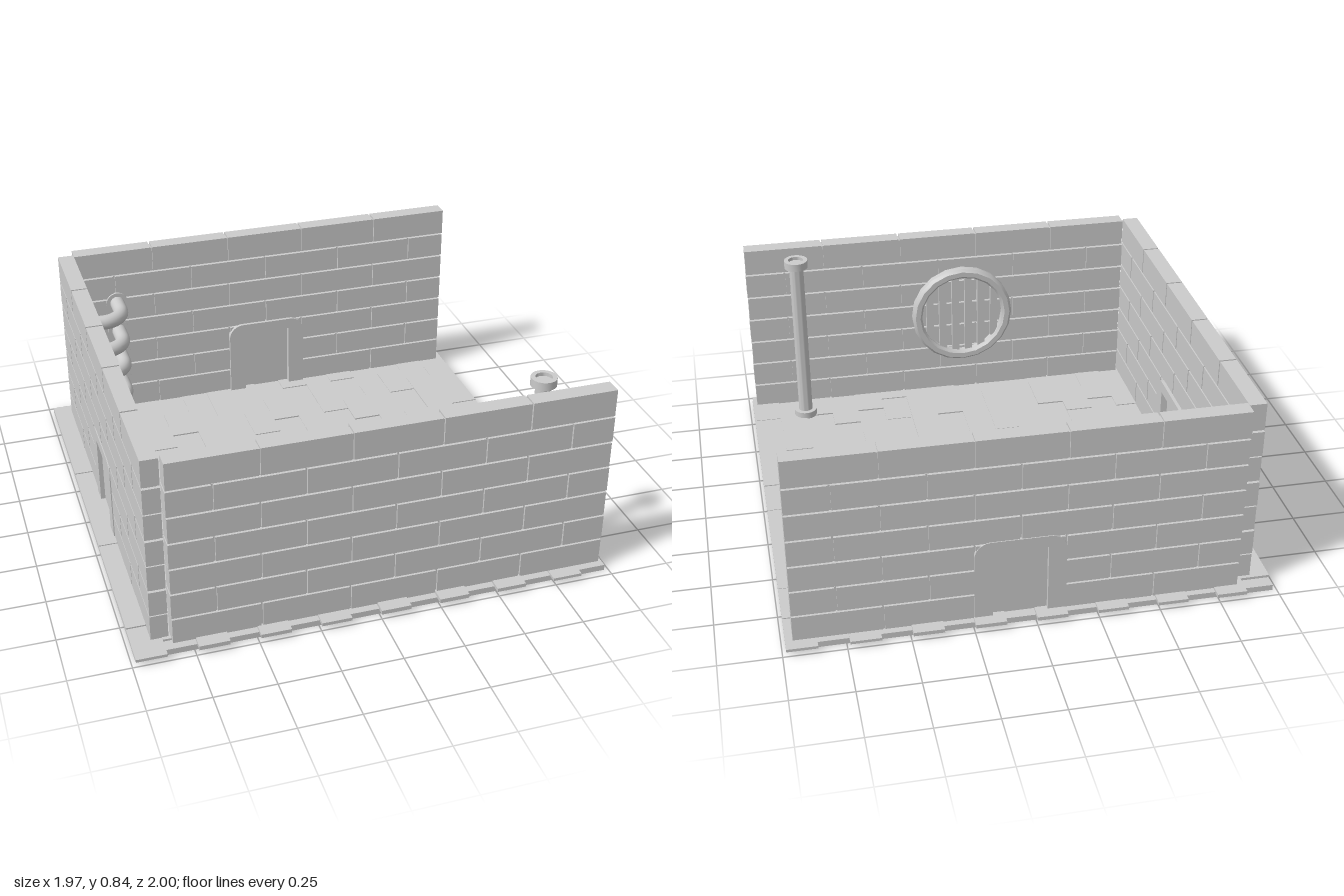
import * as THREE from 'three';
import { toCreasedNormals } from 'three/addons/utils/BufferGeometryUtils.js';

const material = new THREE.MeshStandardMaterial({ color: 0xcccccc });
const FLOOR = 0.032, TOP = 0.845, ROWS = 7, THICK = 0.07, GAP = 0.008;
const BRICK = 0.36, DOOR_HALF = 0.13;

function add(parent, name, geometry, x = 0, y = 0, z = 0) {
  const mesh = new THREE.Mesh(geometry, material);
  mesh.name = name;
  mesh.position.set(x, y, z);
  parent.add(mesh);
  return mesh;
}

// Box given by its limits in x and y, centred on z
function addSpan(parent, name, x0, x1, y0, y1, depth) {
  add(parent, name, new THREE.BoxGeometry(x1 - x0, y1 - y0, depth), (x0 + x1) / 2, (y0 + y1) / 2, 0);
}

// Arched door frame with a recessed panel; inside of the room is +z
function doorway() {
  const g = new THREE.Group();
  g.name = 'doorway';
  const w = 0.183, top = 0.385, r = 0.065, iw = 0.11, itop = 0.335;
  const s = new THREE.Shape();
  s.moveTo(-w, FLOOR);
  s.lineTo(-iw, FLOOR);
  s.lineTo(-iw, itop);
  s.lineTo(iw, itop);
  s.lineTo(iw, FLOOR);
  s.lineTo(w, FLOOR);
  s.lineTo(w, top - r);
  s.absarc(w - r, top - r, r, 0, Math.PI / 2, false);
  s.absarc(r - w, top - r, r, Math.PI / 2, Math.PI, false);
  s.closePath();
  const frame = new THREE.ExtrudeGeometry(s, { depth: THICK + 0.019, bevelEnabled: false, curveSegments: 6 });
  add(g, 'doorFrame', frame, 0, 0, -THICK / 2 - 0.004);
  addSpan(g, 'doorPanel', -iw - 0.01, iw + 0.01, FLOOR, itop + 0.01, 0.04);
  return g;
}

// Running-bond brick wall around an inset mortar core
function brickWall(name, length, hasDoor) {
  const wall = new THREE.Group();
  wall.name = name;
  const half = length / 2, rowH = (TOP - FLOOR) / ROWS;
  const spans = (a, b, low) => !(hasDoor && low) ? [[a, b]]
    : [[a, Math.min(b, -DOOR_HALF)], [Math.max(a, DOOR_HALF), b]].filter(([p, q]) => q - p > 0.01);

  for (let row = 0; row < ROWS; row++) {
    const y0 = FLOOR + row * rowH, low = row < 3;
    for (const [a, b] of spans(-half, half, low))
      addSpan(wall, 'mortar', a + 0.008, b - 0.008, y0 - GAP / 2, y0 + rowH - GAP, THICK - 0.02);
    const start = -2.5 * BRICK - (row % 2 ? BRICK / 2 : 0);
    for (let i = 0; i < 6; i++) {
      const a = Math.max(start + i * BRICK + GAP / 2, -half);
      const b = Math.min(start + (i + 1) * BRICK - GAP / 2, half);
      if (b - a < 0.01) continue;
      for (const [p, q] of spans(a, b, low))
        addSpan(wall, 'brick', p, q, y0, y0 + rowH - (row === ROWS - 1 ? 0 : GAP), THICK);
    }
  }
  if (hasDoor) wall.add(doorway());
  return wall;
}

// Paved floor: columns of stones, alternately shifted, at slightly uneven heights
function floor() {
  const g = new THREE.Group();
  g.name = 'floor';
  add(g, 'baseSlab', new THREE.BoxGeometry(1.965, 0.025, 1.93), 0, 0.0125, 0);
  let seed = 7;
  const random = () => (seed = (seed * 16807) % 2147483647) / 2147483647;
  const cols = 16, w = 1.97 / cols, len = 0.191;
  for (let c = 0; c < cols; c++) {
    const dir = c % 2 ? -1 : 1;
    for (let k = 0; k < 10; k++) {
      const h = 0.012 + Math.floor(random() * 4) * 0.002;
      add(g, 'floorStone', new THREE.BoxGeometry(w, h, len),
        -0.985 + (c + 0.5) * w, 0.02 + h / 2, dir * (0.998 - (k + 0.5) * len));
    }
  }
  return g;
}

// Elbow pipes joining the side wall to the back wall
function cornerPipes() {
  const g = new THREE.Group();
  g.name = 'cornerPipes';
  const v = (x, z) => new THREE.Vector3(x, 0, z);
  const k = 0.045;
  const path = new THREE.CurvePath();
  path.add(new THREE.LineCurve3(v(-0.845, -0.693), v(-0.75, -0.693)));
  path.add(new THREE.CubicBezierCurve3(v(-0.75, -0.693), v(-0.75 + k + 0.007, -0.693), v(-0.655, -0.788 + k + 0.007), v(-0.655, -0.788)));
  path.add(new THREE.LineCurve3(v(-0.655, -0.788), v(-0.655, -0.885)));
  const pipe = new THREE.TubeGeometry(path, 32, 0.033, 20);
  const flange = new THREE.CylinderGeometry(0.05, 0.05, 0.014, 24);
  for (const y of [0.175, 0.32, 0.445, 0.59]) {
    add(g, 'elbowPipe', pipe, 0, y, 0);
    add(g, 'pipeFlange', flange, -0.831, y, -0.693).rotation.z = Math.PI / 2;
    add(g, 'pipeFlange', flange, -0.655, y, -0.874).rotation.x = Math.PI / 2;
  }
  return g;
}

// Hollow upright pipe with a collar at each end
function standingPipe() {
  const g = new THREE.Group();
  g.name = 'standingPipe';
  const P = (x, y) => new THREE.Vector2(x, y);
  const profile = [P(0.053, 0.03), P(0.053, 0.063), P(0.032, 0.063), P(0.032, 0.805), P(0.053, 0.805),
    P(0.053, 0.84), P(0.034, 0.84), P(0.034, 0.825), P(0, 0.825)];
  add(g, 'uprightPipe', toCreasedNormals(new THREE.LatheGeometry(profile, 28), 0.7), 0.74, 0, 0.752);
  return g;
}

// Round drain grate on the inner face of the front wall
function drainGrate() {
  const g = new THREE.Group();
  g.name = 'drainGrate';
  const P = (x, y) => new THREE.Vector2(x, y);
  const profile = [P(0.195, 0), P(0.24, 0), P(0.24, 0.028), P(0.228, 0.042), P(0.205, 0.042), P(0.195, 0.032), P(0.195, 0)];
  const ring = toCreasedNormals(new THREE.LatheGeometry(profile, 20), 0.5);
  add(g, 'grateRing', ring).rotation.x = -Math.PI / 2;
  for (let i = 0; i < 6; i++) {
    const x = (i - 2.5) * 0.062;
    const h = 2 * Math.sqrt(0.2 * 0.2 - x * x);
    add(g, 'grateBar', new THREE.BoxGeometry(0.034, h, 0.022), x, 0, -0.011);
  }
  g.position.set(-0.042, 0.44, 0.871);
  return g;
}

export function createModel() {
  const model = new THREE.Group();
  model.name = 'brickRoom';

  const backWall = brickWall('backWall', 1.79, true);
  backWall.position.set(0.06, 0, -0.911);

  const sideWall = brickWall('sideWall', 1.8, true);
  sideWall.rotation.y = Math.PI / 2;
  sideWall.position.set(-0.871, 0, 0);

  const frontWall = brickWall('frontWall', 1.795, false);
  frontWall.rotation.y = Math.PI;
  frontWall.position.set(0.068, 0, 0.906);

  model.add(floor(), backWall, sideWall, frontWall, cornerPipes(), standingPipe(), drainGrate());
  return model;
}
